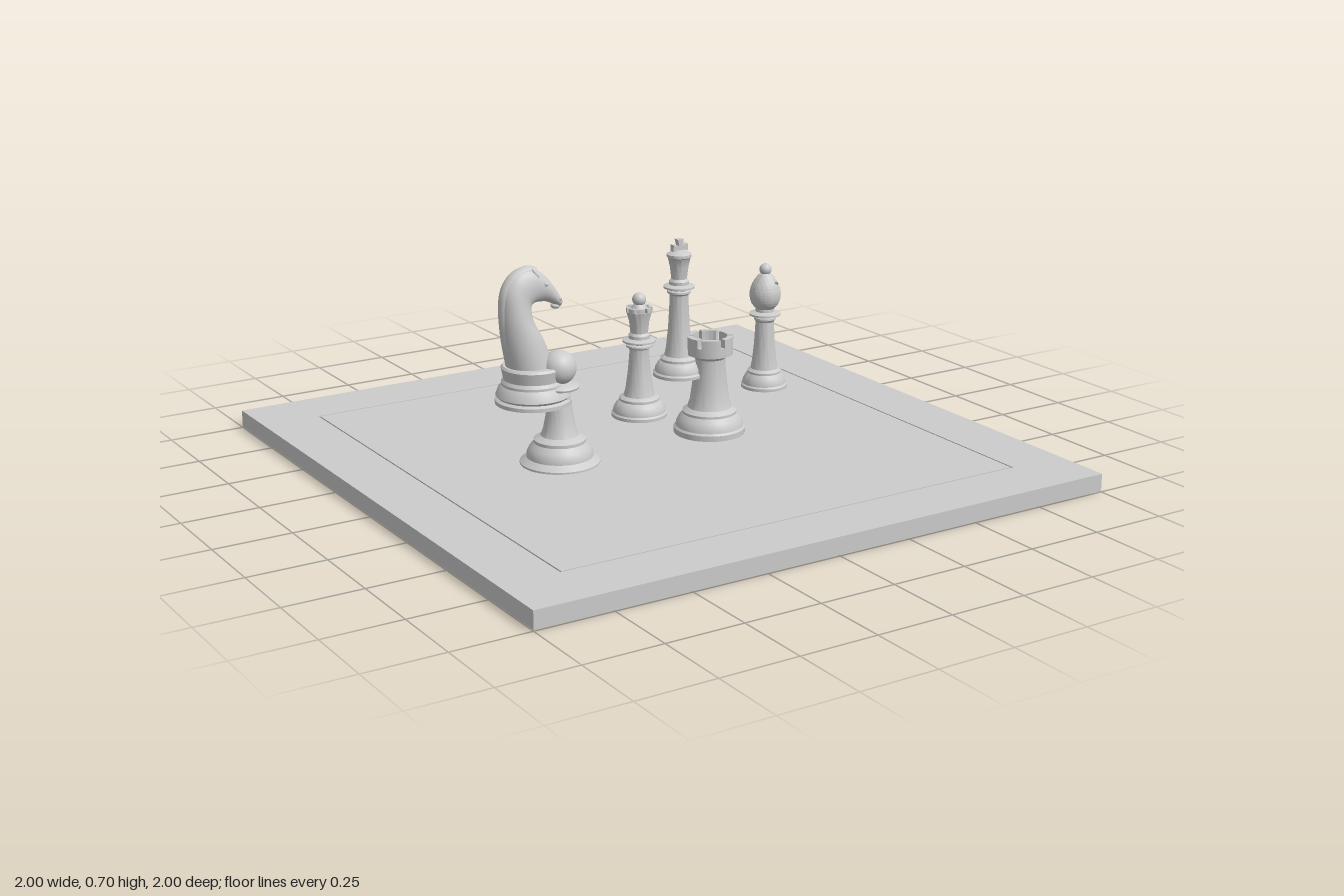
import * as THREE from 'three';
import { toCreasedNormals } from 'three/addons/utils/BufferGeometryUtils.js';

const material = new THREE.MeshStandardMaterial({ color: 0xcccccc, side: THREE.DoubleSide });

function part(parent, name, geometry, x = 0, y = 0, z = 0) {
  const mesh = new THREE.Mesh(geometry, material);
  mesh.name = name;
  mesh.position.set(x, y, z);
  parent.add(mesh);
  return mesh;
}

// Turned shape from [radius, height] pairs, with crisp rims
function turned(profile) {
  const points = profile.map(([r, y]) => new THREE.Vector2(r, y));
  return toCreasedNormals(new THREE.LatheGeometry(points, 48), 0.6);
}

// Ring of upright blocks with gaps between them
function battlements(parent, name, count, outer, inner, bottom, height, fill) {
  for (let i = 0; i < count; i++) {
    const mid = ((i + 0.5) / count) * Math.PI * 2 + Math.PI / 2;
    const half = (Math.PI / count) * fill;
    const shape = new THREE.Shape();
    shape.absarc(0, 0, outer, mid - half, mid + half, false);
    shape.absarc(0, 0, inner, mid + half, mid - half, true);
    const geo = new THREE.ExtrudeGeometry(shape, { depth: height, bevelEnabled: false, curveSegments: 8 });
    geo.rotateX(-Math.PI / 2);
    part(parent, name, toCreasedNormals(geo, 0.6), 0, bottom, 0);
  }
}

function piece(root, name, x, y, z) {
  const group = new THREE.Group();
  group.name = name;
  group.position.set(x, y, z);
  root.add(group);
  return group;
}

// Board: frame, narrow groove and inner panel
function addBoard(root) {
  const square = (s, Type) => new Type([[-s, -s], [s, -s], [s, s], [-s, s]].map(([a, b]) => new THREE.Vector2(a, b)));
  const frame = square(1, THREE.Shape);
  frame.holes.push(square(0.808, THREE.Path));
  const geo = new THREE.ExtrudeGeometry(frame, { depth: 0.056, bevelEnabled: false });
  geo.rotateX(-Math.PI / 2);
  part(root, 'boardFrame', geo, 0, 0.003, 0);
  part(root, 'boardPanel', new THREE.BoxGeometry(1.606, 0.059, 1.606), 0, 0.0295, 0);
}

function addPawn(root) {
  const g = piece(root, 'pawn', -0.355, 0.06, 0.015);
  part(g, 'pawnBody', turned([[0, 0], [0.126, 0], [0.126, 0.006], [0.105, 0.022], [0.104, 0.035], [0.096, 0.052],
    [0.082, 0.068], [0.082, 0.078], [0.06, 0.09], [0.052, 0.11], [0.044, 0.15], [0.037, 0.2], [0.034, 0.235],
    [0.062, 0.242], [0.064, 0.248], [0.058, 0.254], [0.03, 0.262], [0, 0.262]]));
  part(g, 'pawnHead', new THREE.SphereGeometry(0.055, 40, 28), 0, 0.307, 0);
}

function addRook(root) {
  const g = piece(root, 'rook', 0.207, 0.06, 0.01);
  part(g, 'rookBody', turned([[0, 0], [0.116, 0], [0.116, 0.018], [0.11, 0.024], [0.108, 0.036], [0.1, 0.052],
    [0.088, 0.066], [0.088, 0.074], [0.072, 0.086], [0.064, 0.11], [0.057, 0.16], [0.051, 0.22], [0.051, 0.25],
    [0.058, 0.258], [0.075, 0.264], [0.075, 0.295], [0.056, 0.295], [0.056, 0.275], [0, 0.275]]));
  battlements(g, 'rookMerlon', 6, 0.075, 0.056, 0.295, 0.028, 0.8);
}

function addQueen(root) {
  const g = piece(root, 'queen', -0.045, 0.152, -0.015);
  part(g, 'queenBody', turned([[0, 0], [0.089, 0], [0.089, 0.01], [0.084, 0.015], [0.083, 0.026], [0.074, 0.042],
    [0.064, 0.052], [0.064, 0.06], [0.05, 0.068], [0.044, 0.09], [0.036, 0.15], [0.031, 0.21], [0.032, 0.222],
    [0.042, 0.228], [0.042, 0.234], [0.034, 0.238], [0.053, 0.244], [0.053, 0.25], [0.034, 0.256], [0.034, 0.266],
    [0.028, 0.274], [0.032, 0.31], [0.041, 0.343], [0.03, 0.343], [0.028, 0.352], [0.017, 0.366], [0, 0.37]]));
  battlements(g, 'queenCrownPoint', 8, 0.042, 0.03, 0.343, 0.014, 0.72);
  part(g, 'queenFinial', new THREE.SphereGeometry(0.022, 28, 20), 0, 0.381, 0);
}

function addKing(root) {
  const g = piece(root, 'king', 0.127, 0.25, -0.05);
  part(g, 'kingBody', turned([[0, 0], [0.084, 0], [0.084, 0.01], [0.078, 0.015], [0.077, 0.025], [0.068, 0.042],
    [0.06, 0.05], [0.06, 0.058], [0.047, 0.067], [0.042, 0.09], [0.035, 0.16], [0.03, 0.255], [0.031, 0.268],
    [0.038, 0.274], [0.038, 0.28], [0.032, 0.284], [0.05, 0.29], [0.05, 0.296], [0.032, 0.302], [0.032, 0.312],
    [0.025, 0.32], [0.03, 0.36], [0.036, 0.388], [0.04, 0.392], [0.04, 0.401], [0.03, 0.406], [0.01, 0.415], [0, 0.415]]));
  // Flared cross on top, drawn as four widening arms
  const shape = new THREE.Shape();
  for (let i = 0; i < 4; i++) {
    for (const [a, b] of [[0.006, -0.006], [0.027, -0.011], [0.027, 0.011]]) {
      const t = (i * Math.PI) / 2, c = Math.cos(t), s = Math.sin(t);
      shape[i || a > 0.01 ? 'lineTo' : 'moveTo'](a * c - b * s, a * s + b * c);
    }
  }
  const cross = new THREE.ExtrudeGeometry(shape, { depth: 0.02, bevelEnabled: false });
  part(g, 'kingCross', cross, 0, 0.422, -0.01);
}

function addBishop(root) {
  const g = piece(root, 'bishop', 0.44, 0.168, -0.017);
  part(g, 'bishopBody', turned([[0, 0], [0.076, 0], [0.076, 0.009], [0.071, 0.014], [0.07, 0.024], [0.062, 0.04],
    [0.055, 0.049], [0.055, 0.056], [0.045, 0.064], [0.04, 0.09], [0.034, 0.15], [0.03, 0.222], [0.036, 0.23],
    [0.036, 0.236], [0.031, 0.239], [0.051, 0.244], [0.051, 0.25], [0.03, 0.256], [0.03, 0.266], [0.026, 0.28], [0, 0.28]]));
  // Mitre with a slanted slot pressed into one side
  const outline = new THREE.SplineCurve([[0.026, 0.262], [0.045, 0.285], [0.051, 0.315], [0.044, 0.345],
    [0.026, 0.374], [0.012, 0.386]].map(([r, y]) => new THREE.Vector2(r, y)));
  const mitre = new THREE.LatheGeometry(outline.getPoints(64), 96);
  const p = mitre.attributes.position;
  for (let i = 0; i < p.count; i++) {
    const across = (p.getY(i) - 0.325) * 0.75 - p.getZ(i) * 0.66;
    if (Math.abs(across) < 0.0045 && p.getX(i) > 0.012) p.setX(i, 0.012);
  }
  part(g, 'bishopMitre', toCreasedNormals(mitre, 0.6));
  part(g, 'bishopFinial', new THREE.SphereGeometry(0.02, 28, 20), 0, 0.396, 0);
}

// Horse head: elliptical sections swept from the neck to the muzzle
function addKnight(root) {
  const g = piece(root, 'knight', -0.417, 0.253, -0.038);
  part(g, 'knightBase', turned([[0, 0], [0.12, 0], [0.12, 0.012], [0.11, 0.018], [0.118, 0.026], [0.11, 0.048],
    [0.1, 0.06], [0.1, 0.068], [0.093, 0.078], [0.097, 0.1], [0.1, 0.115], [0.094, 0.122], [0, 0.122]]));

  // Each row: back x, y, front x, y, half thickness
  const rows = [[-0.085, 0.11, 0.065, 0.11, 0.073], [-0.105, 0.22, 0.032, 0.2, 0.064], [-0.109, 0.3, -0.004, 0.27, 0.054],
    [-0.1, 0.37, -0.006, 0.312, 0.046], [-0.066, 0.416, 0.008, 0.318, 0.042], [-0.012, 0.431, 0.026, 0.318, 0.038],
    [0.04, 0.402, 0.044, 0.316, 0.034], [0.078, 0.355, 0.068, 0.306, 0.026], [0.1, 0.32, 0.09, 0.293, 0.02]];
  const back = new THREE.CatmullRomCurve3(rows.map(r => new THREE.Vector3(r[0], r[1], r[4])));
  const front = new THREE.CatmullRomCurve3(rows.map(r => new THREE.Vector3(r[2], r[3], r[4])));
  const rings = 40, sides = 32, verts = [], index = [];
  for (let i = 0; i <= rings; i++) {
    const b = back.getPoint(i / rings), f = front.getPoint(i / rings);
    for (let j = 0; j < sides; j++) {
      const a = (j / sides) * Math.PI * 2, k = (1 + Math.cos(a)) / 2;
      verts.push(b.x + (f.x - b.x) * k, b.y + (f.y - b.y) * k, b.z * Math.sin(a));
      const n = (j + 1) % sides, o = i * sides;
      if (i < rings) index.push(o + j, o + sides + j, o + n, o + n, o + sides + j, o + sides + n);
      else index.push(o + sides, o + n, o + j);
    }
  }
  verts.push(0.099, 0.303, 0);
  const head = new THREE.BufferGeometry();
  head.setAttribute('position', new THREE.Float32BufferAttribute(verts, 3));
  head.setIndex(index);
  head.computeVertexNormals();
  part(g, 'knightHead', head);

  // Raised mane along the crest
  const crest = [];
  for (let i = 0; i <= 12; i++) {
    const t = 0.1 + 0.57 * (i / 12);
    const p = back.getPoint(t).lerp(front.getPoint(t), 0.1);
    crest.push(p.setZ(0));
  }
  const mane = new THREE.TubeGeometry(new THREE.CatmullRomCurve3(crest), 40, 0.016, 14);
  part(g, 'knightMane', mane).scale.z = 1.3;

  // Ears, eyes, nostrils and lower lip
  for (const s of [-1, 1]) {
    const ear = part(g, 'knightEar', new THREE.ConeGeometry(0.012, 0.035, 14), 0.0, 0.418, s * 0.022);
    ear.rotation.z = 0.7;
    part(g, 'knightEye', new THREE.SphereGeometry(0.008, 16, 12), 0.033, 0.378, s * 0.031);
    part(g, 'knightNostril', new THREE.SphereGeometry(0.006, 14, 10), 0.089, 0.322, s * 0.019);
  }
  const lip = part(g, 'knightLip', new THREE.SphereGeometry(0.014, 18, 14), 0.082, 0.297, 0);
  lip.scale.set(1.1, 0.7, 1.1);
}

export function createModel() {
  const root = new THREE.Group();
  root.name = 'chessSet';
  addBoard(root);
  addPawn(root);
  addRook(root);
  addQueen(root);
  addKing(root);
  addBishop(root);
  addKnight(root);
  return root;
}
